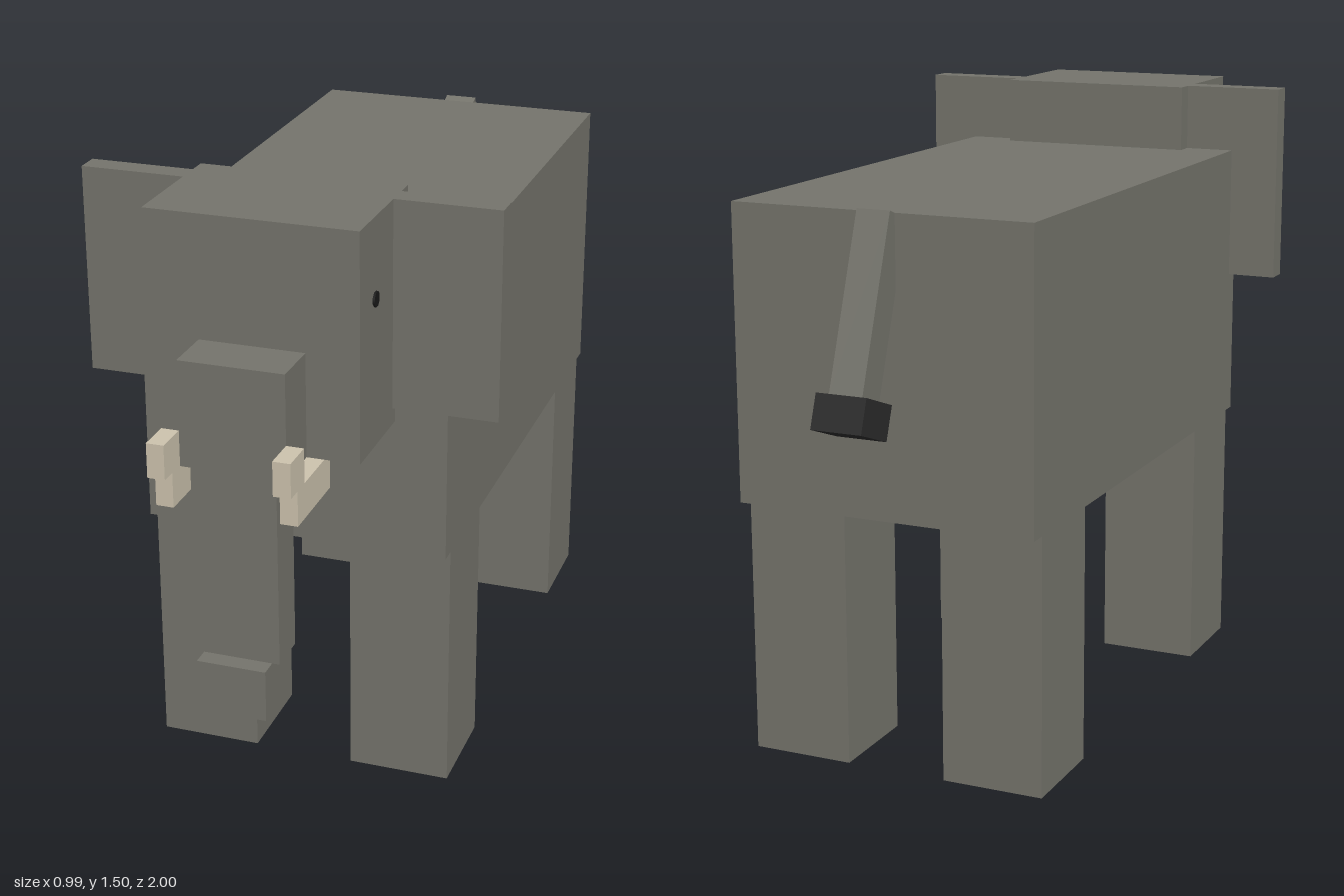
import * as THREE from 'three';

const material = (name, color) => {
  const m = new THREE.MeshStandardMaterial({ color });
  m.name = name;
  return m;
};

export function createModel() {
  const model = new THREE.Group();
  model.name = 'elephant';
  const hide = material('grey hide', 0x75746c);
  const ivory = material('ivory', 0xcdc3ae);
  const tuftDark = material('dark tuft', 0x2b2b2b);
  const eyeBlack = material('eye black', 0x1a1a1a);

  // Box given by its lower and upper limits on each axis
  const block = (name, mat, [x0, x1], [y0, y1], [z0, z1], parent = model) => {
    const mesh = new THREE.Mesh(new THREE.BoxGeometry(x1 - x0, y1 - y0, z1 - z0), mat);
    mesh.position.set((x0 + x1) / 2, (y0 + y1) / 2, (z0 + z1) / 2);
    mesh.name = name;
    parent.add(mesh);
    return mesh;
  };

  // Body and head
  block('body', hide, [-0.373, 0.373], [0.625, 1.332], [-0.787, 0.545]);
  block('head', hide, [-0.248, 0.248], [0.96, 1.497], [0.46, 0.792]);

  // Trunk in three steps
  block('trunkBase', hide, [-0.124, 0.124], [0.957, 1.207], [0.792, 0.917]);
  block('trunk', hide, [-0.1, 0.1], [0.5, 0.957], [0.817, 0.917]);
  block('trunkTip', hide, [-0.082, 0.082], [0.375, 0.5], [0.838, 0.96]);

  // Paired parts, mirrored across x
  for (const [side, s] of [['left', 1], ['right', -1]]) {
    const span = (a, b) => (s > 0 ? [a, b] : [-b, -a]);
    block(side + 'FrontLeg', hide, span(0.124, 0.373), [0, 0.625], [0.257, 0.505]);
    block(side + 'BackLeg', hide, span(0.124, 0.373), [0, 0.625], [-0.742, -0.493]);
    block(side + 'Ear', hide, span(0.248, 0.497), [1.0, 1.497], [0.507, 0.565]);
    block(side + 'Tusk', ivory, span(0.124, 0.165), [0.876, 0.96], [0.755, 0.96]);
    block(side + 'TuskTip', ivory, span(0.124, 0.165), [0.96, 1.042], [0.917, 1.0]);

    const eye = new THREE.Mesh(new THREE.CylinderGeometry(0.018, 0.018, 0.006, 8), eyeBlack);
    eye.rotation.set(Math.PI / 8, 0, Math.PI / 2, 'XYZ');
    eye.position.set(s * 0.25, 1.31, 0.69);
    eye.name = side + 'Eye';
    model.add(eye);
  }

  // Tail hangs from its root, tilted backwards
  const tail = new THREE.Group();
  tail.name = 'tail';
  tail.position.set(0, 1.326, -0.77);
  tail.rotation.x = 0.35;
  block('tailShaft', hide, [-0.041, 0.041], [-0.413, 0], [-0.041, 0.041], tail);
  block('tailTuft', tuftDark, [-0.062, 0.062], [-0.494, -0.412], [-0.062, 0.062], tail);
  model.add(tail);

  return model;
}
